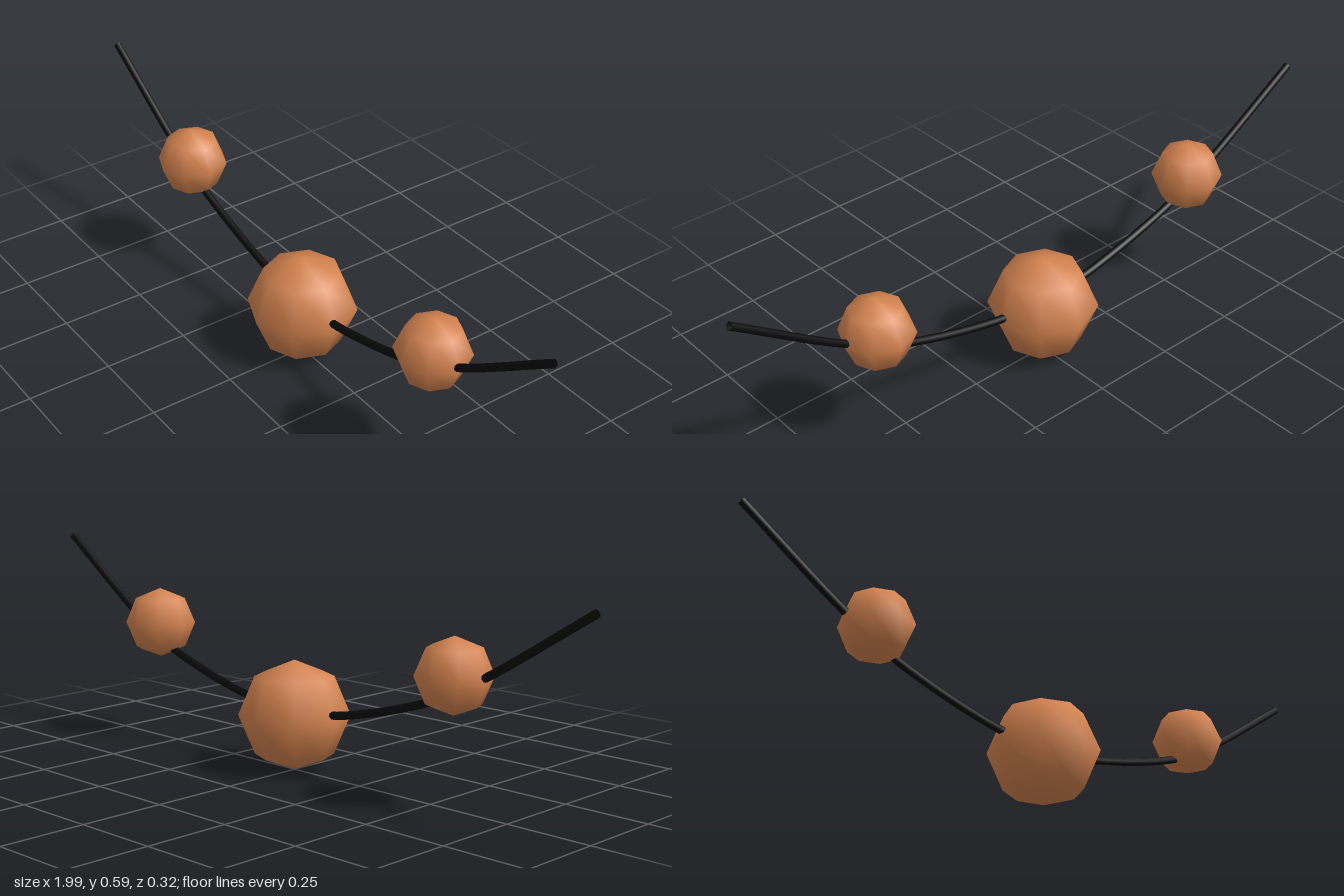
import * as THREE from 'three';

export function createModel() {
  const group = new THREE.Group();
  const copper = new THREE.MeshStandardMaterial({ color: 0xd4834f });
  copper.name = 'copper';
  const black = new THREE.MeshStandardMaterial({ color: 0x090909, side: THREE.DoubleSide });
  black.name = 'black cord';

  // Hanging cord, sagging in the middle
  const path = new THREE.CatmullRomCurve3([
    [-0.994, 0.564], [-0.67, 0.362], [-0.5, 0.276], [-0.16, 0.182], [0, 0.171],
    [0.16, 0.181], [0.5, 0.274], [0.67, 0.363], [0.988, 0.582],
  ].map(([x, y]) => new THREE.Vector3(x, y, 0)));
  const cord = new THREE.Mesh(new THREE.TubeGeometry(path, 64, 0.0115, 8, false), black);
  cord.name = 'cord';
  group.add(cord);

  // Low-sided beads with smooth shading
  const addBead = (name, radius, x, y) => {
    const bead = new THREE.Mesh(new THREE.SphereGeometry(radius, 8, 4), copper);
    bead.name = name;
    bead.position.set(x, y, 0);
    group.add(bead);
  };
  addBead('centreBead', 0.158, 0, 0.159);
  addBead('leftBead', 0.104, 0.571, 0.354);
  addBead('rightBead', 0.104, -0.571, 0.354);

  return group;
}
